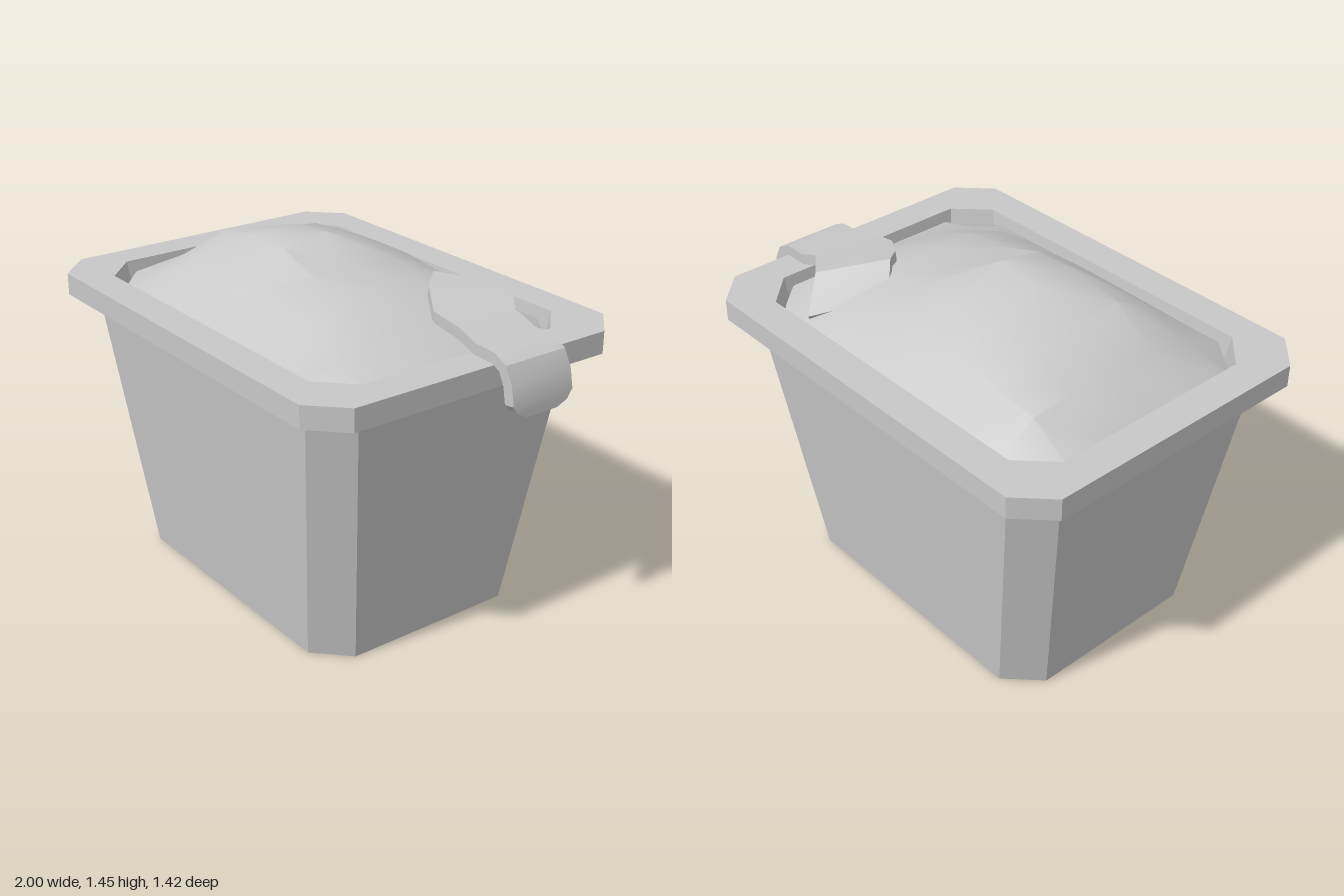
import * as THREE from 'three';
import { toCreasedNormals } from 'three/addons/utils/BufferGeometryUtils.js';

const V = (x, y, z) => new THREE.Vector3(x, y, z);

// Skin a list of point rows; closed joins each row's last point to its first
function loft(rows, closed, crease) {
  const n = rows[0].length, index = [];
  for (let i = 0; i < rows.length - 1; i++) {
    for (let k = 0; k < (closed ? n : n - 1); k++) {
      const a = i * n + k, b = i * n + (k + 1) % n;
      index.push(a, b, b + n, a, b + n, a + n);
    }
  }
  const geo = new THREE.BufferGeometry().setFromPoints(rows.flat());
  geo.setIndex(index);
  return toCreasedNormals(geo, crease);
}

// Rectangle with chamfered corners, at height y
function octagon(hx, hz, y, c = 0.13) {
  const cx = -0.053, a = hx - c, b = hz - c;
  return [[hx, b], [hx, -b], [a, -hz], [-a, -hz], [-hx, -b], [-hx, b], [-a, hz], [a, hz]]
    .map(([x, z]) => V(x + cx, y, z));
}

// Tapered bin: underside, outer wall, rim, inner wall, floor
function tubGeometry() {
  return loft([
    octagon(0, 0, 0, 0),
    octagon(0.683, 0.495, 0),
    octagon(0.853, 0.62, 1.1),
    octagon(0.947, 0.71, 1.1),
    octagon(0.947, 0.71, 1.19),
    octagon(0.807, 0.57, 1.19),
    octagon(0.64, 0.45, 0.08),
    octagon(0, 0, 0.08, 0),
  ], true, 0.3);
}

// Lumpy mound filling the bin
function heapGeometry() {
  const xs = [-0.855, -0.67, -0.47, -0.25, -0.05, 0.14, 0.36, 0.56, 0.75];
  const zs = [0.565, 0.4, 0.2, 0, -0.2, -0.4, -0.565];
  const heights = [
    [1.20, 1.27, 1.28, 1.28, 1.27, 1.25, 1.19],
    [1.25, 1.38, 1.415, 1.41, 1.35, 1.32, 1.24],
    [1.27, 1.36, 1.425, 1.445, 1.34, 1.32, 1.25],
    [1.27, 1.33, 1.36, 1.36, 1.34, 1.30, 1.25],
    [1.25, 1.27, 1.28, 1.28, 1.26, 1.24, 1.20],
  ];
  const rows = zs.map((z, i) => xs.map((x, k) => {
    const endX = k === 0 || k === xs.length - 1, endZ = i === 0 || i === zs.length - 1;
    // Corners pull in to follow the chamfers
    if (endX && endZ) return V(x - Math.sign(x) * 0.068, 1.1, z - Math.sign(z) * 0.068);
    return V(x, endX || endZ ? 1.14 : heights[i - 1][k - 1], z);
  }));
  return loft(rows, false, 0.6);
}

// Flat strip lying on the heap, bending over the rim and hanging outside
function stripGeometry() {
  const zL = -0.035, zR = -0.32, thick = 0.045;
  const stations = [
    [V(0.29, 1.24, -0.27), V(0.45, 1.19, -0.54)],
    [V(0.36, 1.355, -0.2), V(0.54, 1.305, -0.43)],
    [V(0.43, 1.33, -0.12), V(0.61, 1.30, -0.38)],
    [V(0.56, 1.29, zL), V(0.69, 1.27, zR)],
    ...[[0.71, 1.268], [0.79, 1.238], [0.89, 1.235], [0.95, 1.205], [0.985, 1.14], [1, 1.065]]
      .map(([x, y]) => [V(x, y, zL), V(x, y, zR)]),
    [V(1, 1.03, -0.06), V(1, 1.03, -0.295)],
    [V(1, 1.01, -0.105), V(1, 1.01, -0.25)],
  ];
  const mid = ([l, r]) => l.clone().add(r).multiplyScalar(0.5);
  const rings = stations.map(([l, r], i) => {
    const prev = stations[Math.max(i - 1, 0)], next = stations[Math.min(i + 1, stations.length - 1)];
    const along = mid(next).sub(mid(prev));
    const inset = l.clone().sub(r).cross(along).normalize().multiplyScalar(-thick);
    return [r, l, l.clone().add(inset), r.clone().add(inset)];
  });
  // Collapsed rings close both ends
  const cap = (ring) => {
    const c = ring.reduce((s, p) => s.add(p), V(0, 0, 0)).multiplyScalar(0.25);
    return ring.map(() => c.clone());
  };
  return loft([cap(rings[0]), ...rings, cap(rings[rings.length - 1])], true, 0.5);
}

export function createModel() {
  const grey = new THREE.MeshStandardMaterial({ color: 0xc8c8c8, side: THREE.DoubleSide });
  grey.name = 'lightGrey';
  const model = new THREE.Group();
  model.name = 'filledBin';
  const parts = { tub: tubGeometry(), heap: heapGeometry(), hangingStrip: stripGeometry() };
  for (const [name, geo] of Object.entries(parts)) {
    const mesh = new THREE.Mesh(geo, grey);
    mesh.name = name;
    model.add(mesh);
  }
  return model;
}
